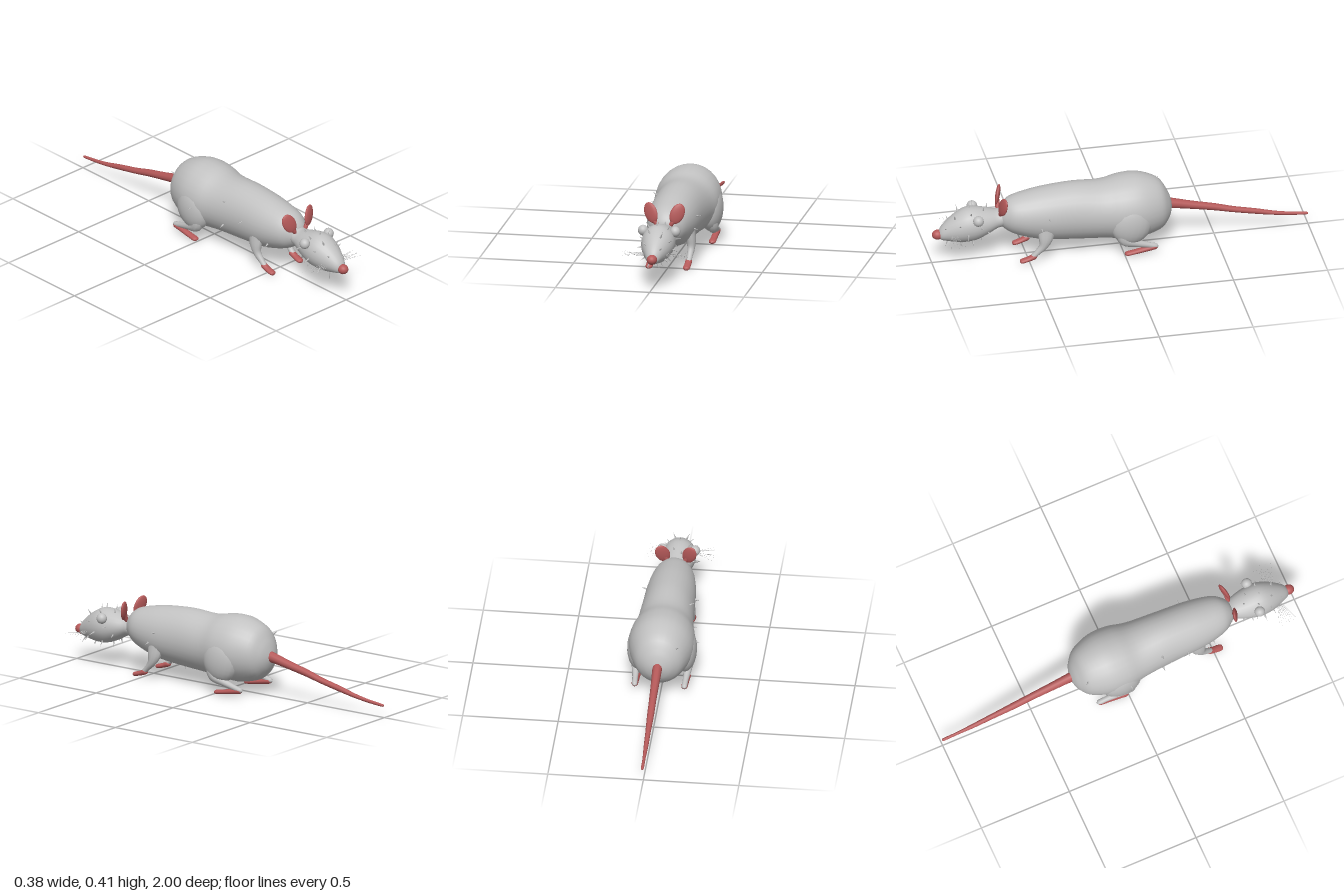
import * as THREE from 'three';

const X = new THREE.Vector3(1, 0, 0), Y = new THREE.Vector3(0, 1, 0);

// Smooth skin over sections [x, y, z, halfWidth, halfHeight]; upright keeps rings vertical
function loft(sections, upright = false, sides = 20, steps = 4) {
  const path = new THREE.CatmullRomCurve3(sections.map(s => new THREE.Vector3(s[0], s[1], s[2])), false, 'catmullrom');
  const size = new THREE.CatmullRomCurve3(sections.map(s => new THREE.Vector3(s[3], s[4], 0)), false, 'catmullrom');
  const n = (sections.length - 1) * steps, pos = [], index = [];
  for (let i = 0; i <= n; i++) {
    const p = path.getPoint(i / n), r = size.getPoint(i / n);
    const up = upright ? Y : path.getTangent(i / n).cross(X).normalize();
    for (let j = 0; j < sides; j++) {
      const a = j / sides * Math.PI * 2;
      const v = p.clone().addScaledVector(X, Math.cos(a) * Math.max(r.x, 0.001))
        .addScaledVector(up, Math.sin(a) * Math.max(r.y, 0.001));
      pos.push(v.x, v.y, v.z);
      if (i < n) {
        const k = i * sides + j, l = i * sides + (j + 1) % sides;
        index.push(k, l, k + sides, l, l + sides, k + sides);
      }
    }
  }
  const g = new THREE.BufferGeometry();
  g.setAttribute('position', new THREE.Float32BufferAttribute(pos, 3));
  g.setIndex(index);
  g.computeVertexNormals();
  return g;
}

const torso = [
  [0, 0.21, -0.275, 0.002, 0.002], [0, 0.212, -0.265, 0.045, 0.045], [0, 0.216, -0.245, 0.085, 0.09],
  [0, 0.225, -0.2, 0.13, 0.142], [0, 0.231, -0.1, 0.167, 0.174], [0, 0.232, 0, 0.17, 0.172],
  [0, 0.228, 0.1, 0.15, 0.158], [0, 0.236, 0.25, 0.137, 0.157], [0, 0.238, 0.4, 0.13, 0.145],
  [0, 0.242, 0.5, 0.118, 0.125], [0, 0.247, 0.57, 0.1, 0.103], [0, 0.248, 0.61, 0.075, 0.08],
  [0, 0.245, 0.64, 0.045, 0.045], [0, 0.24, 0.65, 0.002, 0.002],
];
const headShape = [
  [0, 0.24, 0.58, 0.002, 0.002], [0, 0.238, 0.62, 0.05, 0.045], [0, 0.232, 0.66, 0.06, 0.05],
  [0, 0.225, 0.71, 0.076, 0.07], [0, 0.219, 0.77, 0.087, 0.09], [0, 0.215, 0.82, 0.086, 0.093],
  [0, 0.204, 0.87, 0.073, 0.08], [0, 0.189, 0.92, 0.051, 0.056], [0, 0.175, 0.955, 0.03, 0.032],
  [0, 0.17, 0.97, 0.002, 0.002],
];

// Point and outward direction on a lofted shape, by angle in degrees from +x and by z
function onSurface(shape, deg, z) {
  const i = Math.max(1, shape.findIndex(s => s[2] >= z)), a = shape[i - 1], b = shape[i];
  const t = (z - a[2]) / (b[2] - a[2]), mix = k => a[k] + (b[k] - a[k]) * t;
  const c = Math.cos(deg * Math.PI / 180), s = Math.sin(deg * Math.PI / 180);
  return {
    point: new THREE.Vector3(c * mix(3), mix(1) + s * mix(4), z),
    normal: new THREE.Vector3(c, s, (a[3] - b[3]) / (b[2] - a[2]) * 0.7).normalize(),
  };
}

export function createModel() {
  const model = new THREE.Group();
  const fur = new THREE.MeshStandardMaterial({ color: 0xc2c2c2 });
  fur.name = 'greyFur';
  const skin = new THREE.MeshStandardMaterial({ color: 0xb65a5a });
  skin.name = 'pinkSkin';

  const add = (name, geometry, material) => {
    const m = new THREE.Mesh(geometry, material);
    m.name = name;
    model.add(m);
    return m;
  };
  const ball = (name, material, position, radii) => {
    const m = add(name, new THREE.SphereGeometry(1, 20, 14), material);
    m.position.set(...position);
    m.scale.set(...radii);
    return m;
  };
  // Thin cone standing at a point along a direction
  const cone = (name, point, dir, radius, length) => {
    const g = new THREE.ConeGeometry(radius, length, 5).translate(0, length / 2, 0);
    const m = add(name, g, fur);
    m.position.copy(point);
    m.quaternion.setFromUnitVectors(Y, dir.clone().normalize());
  };

  add('torso', loft(torso, true, 28), fur);
  add('head', loft(headShape, true, 24), fur);
  ball('nose', skin, [0, 0.17, 0.97], [0.027, 0.026, 0.03]);

  // Tail, slightly knobbly
  add('tail', loft([
    [0, 0.217, -0.24, 0.027, 0.034], [0, 0.21, -0.29, 0.025, 0.027], [0, 0.19, -0.38, 0.022, 0.022],
    [0, 0.164, -0.5, 0.019, 0.019], [0, 0.138, -0.6, 0.018, 0.016], [0, 0.112, -0.72, 0.014, 0.015],
    [0, 0.09, -0.82, 0.012, 0.011], [0, 0.076, -0.91, 0.008, 0.009], [0, 0.068, -0.99, 0.008, 0.007],
    [0, 0.067, -1, 0.001, 0.001],
  ], false, 10), skin);

  for (const s of [1, -1]) {
    const side = s > 0 ? 'left' : 'right';
    const limb = (name, pts, material) =>
      add(side + name, loft(pts.map(p => [p[0] * s, ...p.slice(1)]), false, 12), material);

    ball(side + 'Eye', fur, [0.085 * s, 0.273, 0.77], [0.027, 0.028, 0.028]);
    const ear = ball(side + 'Ear', skin, [0.07 * s, 0.333, 0.636], [0.037, 0.056, 0.012]);
    ear.rotation.set(-0.12, 0.3 * s, -0.4 * s);
    limb('EarBase', [[0.03, 0.262, 0.64, 0.012, 0.012], [0.045, 0.285, 0.643, 0.014, 0.012],
      [0.06, 0.315, 0.637, 0.012, 0.01]], skin);

    // Front leg and paw
    limb('FrontLeg', [[0.09, 0.2, 0.41, 0.03, 0.05], [0.1, 0.14, 0.415, 0.026, 0.04],
      [0.104, 0.095, 0.43, 0.02, 0.023], [0.102, 0.06, 0.46, 0.016, 0.015], [0.1, 0.035, 0.485, 0.015, 0.013]], fur);
    limb('FrontPaw', [[0.1, 0.045, 0.465, 0.002, 0.002], [0.1, 0.04, 0.472, 0.017, 0.015],
      [0.1, 0.027, 0.5, 0.018, 0.013], [0.099, 0.018, 0.53, 0.019, 0.012],
      [0.099, 0.014, 0.547, 0.015, 0.01], [0.099, 0.013, 0.553, 0.002, 0.002]], skin);

    // Hind leg and long foot
    const thigh = ball(side + 'Thigh', fur, [0.122 * s, 0.19, -0.035], [0.06, 0.122, 0.11]);
    thigh.rotation.x = -0.2;
    limb('HindLeg', [[0.13, 0.15, 0.01, 0.035, 0.045], [0.135, 0.1, 0, 0.03, 0.034],
      [0.135, 0.074, -0.06, 0.021, 0.021], [0.132, 0.055, -0.12, 0.015, 0.015],
      [0.13, 0.043, -0.165, 0.014, 0.013], [0.13, 0.042, -0.178, 0.002, 0.002]], fur);
    limb('HindFoot', [[0.13, 0.042, -0.172, 0.002, 0.002], [0.13, 0.04, -0.162, 0.016, 0.014],
      [0.13, 0.03, -0.11, 0.017, 0.014], [0.13, 0.019, -0.05, 0.018, 0.012],
      [0.13, 0.013, -0.01, 0.018, 0.011], [0.13, 0.011, 0.002, 0.002, 0.002]], skin);

    // Whisker fan
    for (let i = 0; i < 8; i++) {
      const u = i / 7 - 0.5, w = (i * 3 % 8) / 7 - 0.5;
      cone(side + 'Whisker', new THREE.Vector3(0.05 * s, 0.178 - w * 0.02, 0.895 + u * 0.02),
        new THREE.Vector3(0.13 * s, w * 0.05, u * 0.085), 0.0012, 0.135);
    }
    // Bristles along cheeks, brow and chin
    [[75, 0.72], [55, 0.79], [65, 0.87], [25, 0.85], [5, 0.74], [-15, 0.81], [-30, 0.7], [-40, 0.87],
      [-55, 0.78], [-70, 0.84], [-78, 0.73], [-65, 0.91], [40, 0.92]].forEach(([a, z], i) => {
      const { point, normal } = onSurface(headShape, s > 0 ? a : 180 - a, z + 0.012 * s);
      cone('headBristle', point.addScaledVector(normal, -0.006), normal, 0.006, 0.03 + (i % 3) * 0.006);
    });
  }
  cone('browBristle', new THREE.Vector3(0, 0.295, 0.8), new THREE.Vector3(-0.2, 1, 0.1), 0.006, 0.04);

  // Stray bristles on the body
  [[175, 0.34], [200, 0.2], [140, -0.21], [185, 0], [-15, 0.44], [10, 0.4], [215, 0.5], [-95, 0.3], [150, 0.2]]
    .forEach(([a, z]) => {
      const { point, normal } = onSurface(torso, a, z);
      cone('bodyBristle', point.addScaledVector(normal, -0.008), normal, 0.007, 0.035);
    });

  model.children.forEach(m => { m.position.x += 0.006; });
  return model;
}
